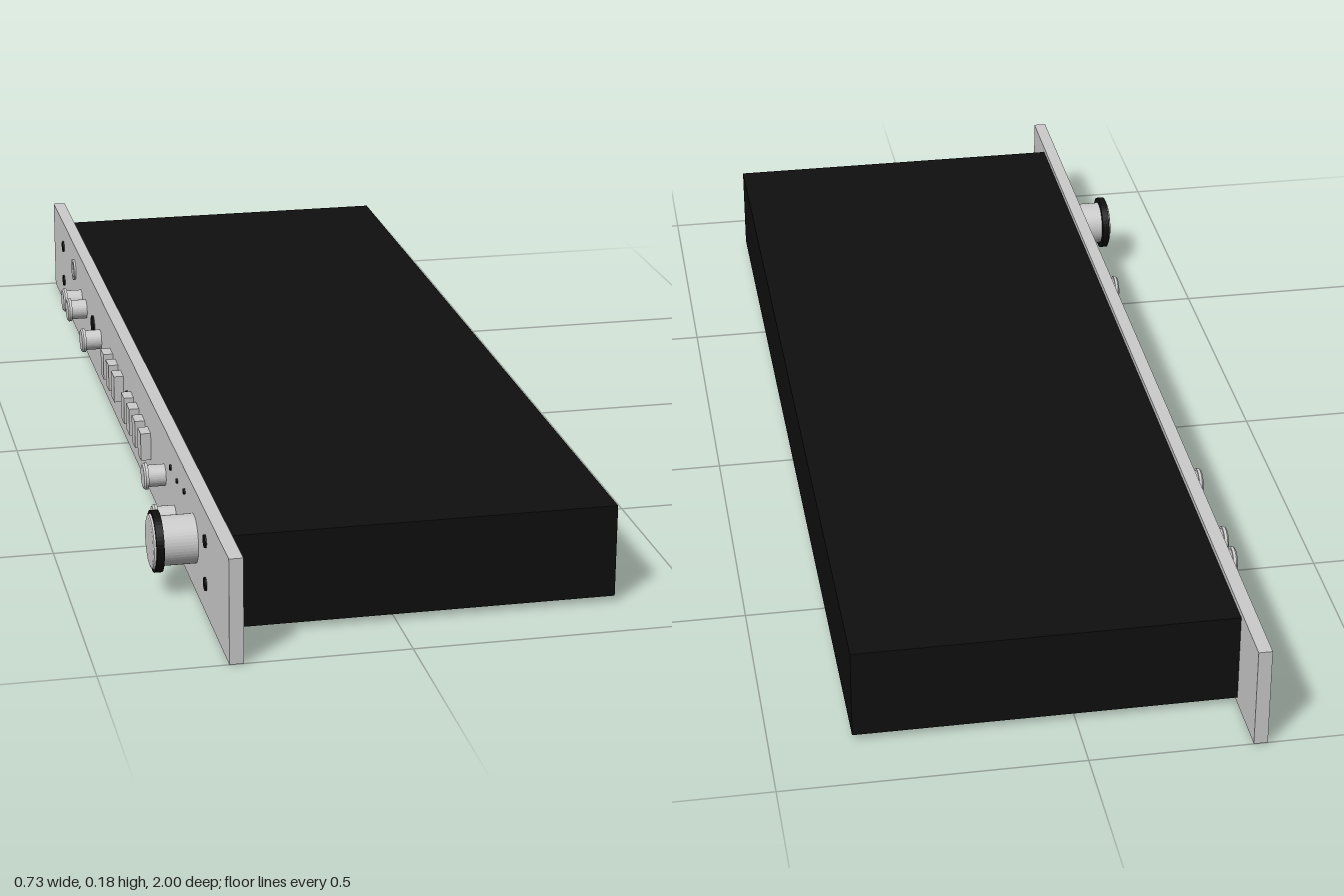
import * as THREE from 'three';

const mat = (color) => new THREE.MeshStandardMaterial({ color });
const FACE = -0.293; // outer surface of the front panel, which looks along -x

export function createModel() {
  const group = new THREE.Group();
  const grey = mat(0xcccccc);
  const black = mat(0x0f0f0f);

  const add = (name, geometry, material, x, y, z) => {
    const mesh = new THREE.Mesh(geometry, material);
    mesh.name = name;
    mesh.position.set(x, y, z);
    group.add(mesh);
    return mesh;
  };

  // Turned part from [radius, height] pairs, standing out of the panel; sharp rims
  const turned = (name, profile, material, y, z, sides = 32) => {
    const points = [];
    profile.forEach(([r, h], i) => {
      points.push(new THREE.Vector2(r, h));
      if (i > 0 && i < profile.length - 1) points.push(new THREE.Vector2(r, h));
    });
    // Doubled points keep each band's normals separate
    const geometry = new THREE.LatheGeometry(points, sides).toNonIndexed();
    geometry.computeVertexNormals();
    geometry.rotateZ(Math.PI / 2);
    return add(name, geometry, material, FACE, y, z);
  };

  // Case: black sheet metal with a bare underside
  add('case', new THREE.BoxGeometry(0.635, 0.157, 1.77),
    [black, black, black, grey, black, black], 0.0475, 0.0885, 0);

  // Rack panel, wider and taller than the case
  add('frontPanel', new THREE.BoxGeometry(0.023, 0.177, 2), grey, -0.2815, 0.0885, 0);

  // Large dial with a black grip ring and rounded cap
  turned('dialBody', [[0.041, 0], [0.041, 0.057]], grey, 0.089, 0.695, 48);
  turned('dialRing', [[0.041, 0.057], [0.051, 0.057], [0.051, 0.07], [0.045, 0.07]],
    black, 0.089, 0.695, 48);
  turned('dialCap', [[0.046, 0.07], [0.044, 0.073], [0.04, 0.0745], [0, 0.0745]],
    grey, 0.089, 0.695, 48);

  // Small knobs with a flange at the outer end
  const knobs = [[0.09, -0.6], [0.09, -0.535], [0.09, -0.34],
    [0.09, 0.405], [0.053, 0.505], [0.053, 0.575]];
  for (const [y, z] of knobs) {
    turned('knob', [[0.019, 0], [0.019, 0.03], [0.023, 0.03], [0.023, 0.035],
      [0.02, 0.038], [0, 0.038]], grey, y, z);
  }

  // Two banks of push buttons
  for (const z of [-0.195, -0.13, -0.065, 0.055, 0.115, 0.18, 0.245]) {
    add('pushButton', new THREE.BoxGeometry(0.018, 0.05, 0.035), grey, FACE - 0.009, 0.089, z);
  }

  // Sockets: a raised ring around a recessed centre
  for (const y of [0.057, 0.125]) {
    turned('socketRing', [[0.021, 0], [0.021, 0.004], [0.015, 0.004], [0.015, 0.001], [0, 0.001]],
      grey, y, -0.69);
  }

  // Flat black discs: panel screws, sensor window and indicator lamps
  const discs = [
    ['panelScrew', 0.052, -0.852, 0.011], ['panelScrew', 0.126, -0.852, 0.011],
    ['panelScrew', 0.052, 0.8, 0.011], ['panelScrew', 0.126, 0.8, 0.011],
    ['sensorWindow', 0.089, -0.43, 0.02], ['centreLamp', 0.089, 0, 0.013],
    ['indicatorLamp', 0.13, 0.476, 0.005], ['indicatorLamp', 0.13, 0.54, 0.004],
    ['indicatorLamp', 0.138, 0.61, 0.005],
  ];
  for (const [name, y, z, r] of discs) {
    turned(name, [[r, 0], [r, 0.003], [0, 0.003]], black, y, z, 24);
  }

  return group;
}
